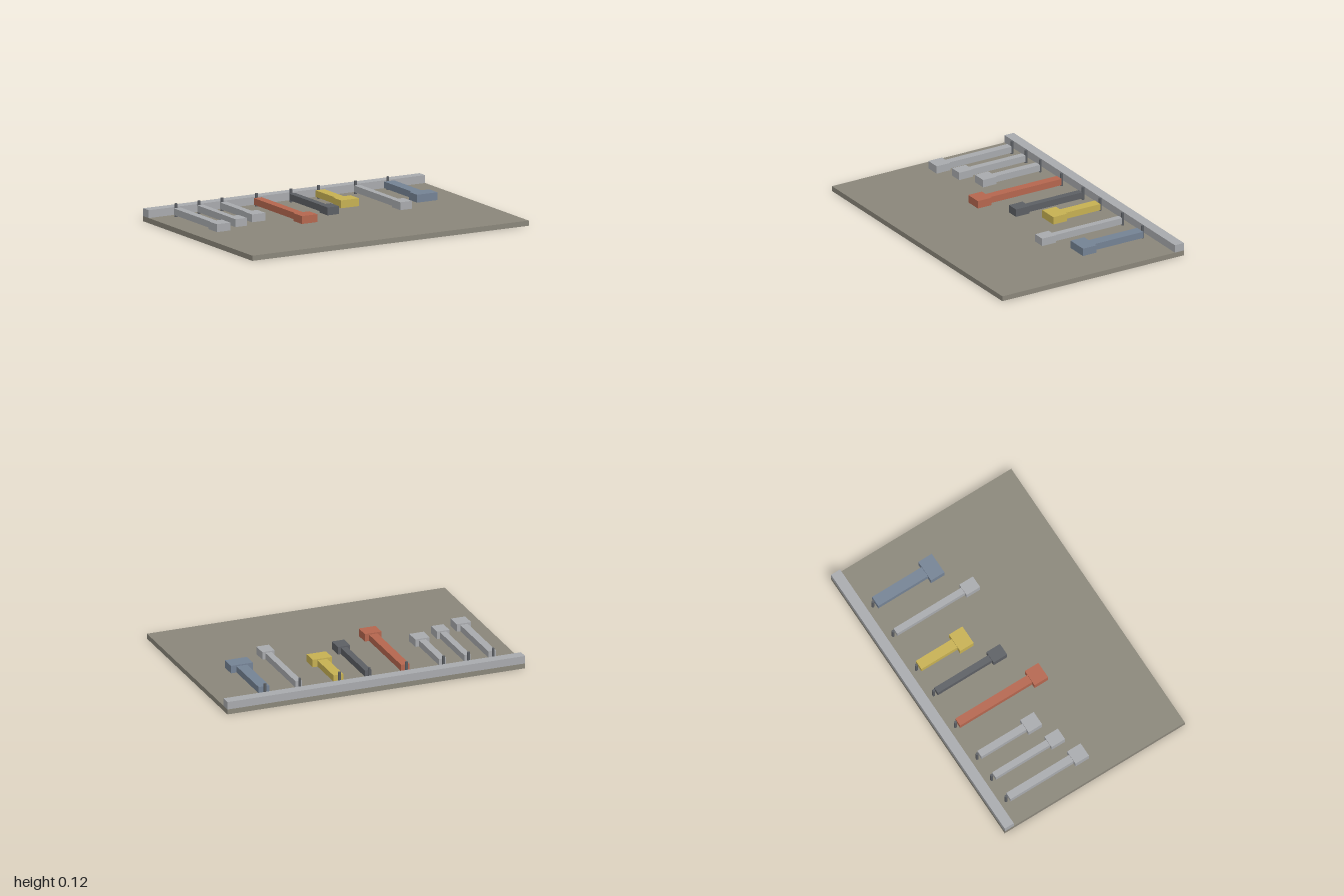
import * as THREE from 'three';

const mat = (name, color) => {
  const m = new THREE.MeshStandardMaterial({ color });
  m.name = name;
  return m;
};

export function createModel() {
  const group = new THREE.Group();
  const boardColor = mat('taupe board', 0x8a867a);
  const steel = mat('light steel', 0xa8aaad);
  const dark = mat('dark iron', 0x5c5f64);
  const red = mat('brick red', 0xb4664e);
  const yellow = mat('mustard yellow', 0xc6b052);
  const blue = mat('slate blue', 0x748294);

  // Box given by its extents
  const box = (name, material, parent, x, w, y0, y1, z0, z1) => {
    const mesh = new THREE.Mesh(new THREE.BoxGeometry(w, y1 - y0, z1 - z0), material);
    mesh.name = name;
    mesh.position.set(x, (y0 + y1) / 2, (z0 + z1) / 2);
    parent.add(mesh);
  };

  // Backing board and the rail along its rear edge
  box('board', boardColor, group, 0, 2, 0, 0.033, -0.667, 0.667);
  box('rail', steel, group, 0, 2, 0.033, 0.083, -0.667, -0.6);

  // Tools: x, handle width, head width, start of head in z, colour
  const tools = [
    ['firstWrench', -0.833, 0.05, 0.097, -0.067, steel],
    ['secondWrench', -0.667, 0.042, 0.083, -0.133, steel],
    ['thirdWrench', -0.5, 0.047, 0.097, -0.2, steel],
    ['redTool', -0.25, 0.056, 0.113, 0, red],
    ['darkTool', 0, 0.042, 0.083, -0.133, dark],
    ['yellowTool', 0.2, 0.065, 0.13, -0.267, yellow],
    ['slimTool', 0.467, 0.042, 0.083, -0.033, steel],
    ['blueTool', 0.7, 0.072, 0.147, -0.167, blue],
  ];
  const pegGeometry = new THREE.CylinderGeometry(0.0095, 0.0095, 0.084, 8);
  for (const [name, x, handleW, headW, z, material] of tools) {
    const tool = new THREE.Group();
    tool.name = name;
    box('handle', material, tool, x, handleW, 0.05, 0.092, -0.533, z);
    box('head', material, tool, x, headW, 0.05, 0.1, z, z + 0.1);

    // Hanging peg behind the handle
    const peg = new THREE.Mesh(pegGeometry, dark);
    peg.name = 'peg';
    peg.position.set(x, 0.075, -0.55);
    tool.add(peg);
    group.add(tool);
  }
  return group;
}
